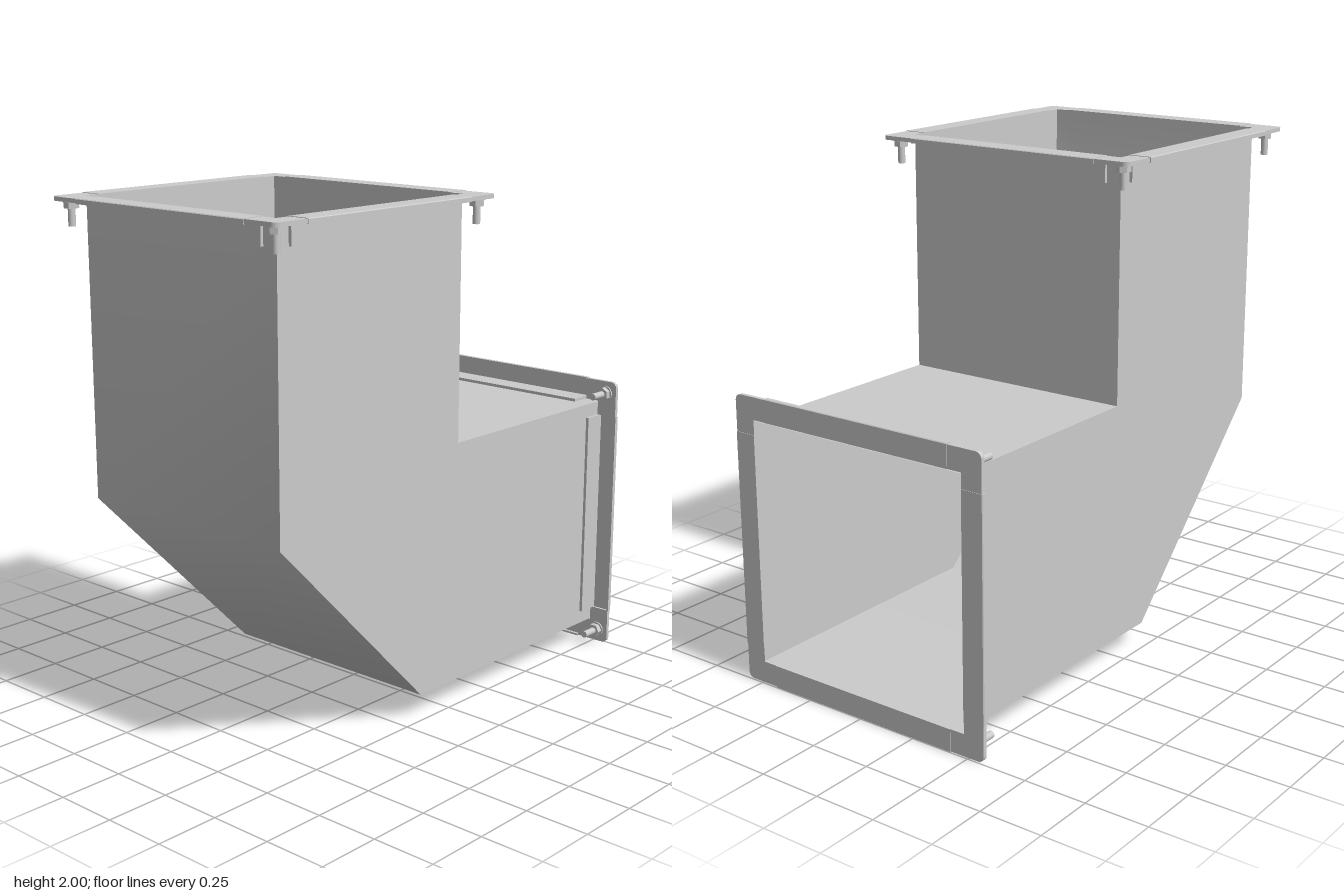
import * as THREE from 'three';

const mat = new THREE.MeshStandardMaterial({ color: 0xcccccc, side: THREE.DoubleSide });
const HALF = 0.483; // half width of the duct
const OUT = 0.575;  // half width of the flange

function part(name, geometry, parent) {
  const mesh = new THREE.Mesh(geometry, mat);
  mesh.name = name;
  parent.add(mesh);
  return mesh;
}

// Sheet spanning the duct width along a [z, y] path, smooth across gentle bends
function sheet(path) {
  const positions = path.flatMap(([z, y]) => [-HALF, y, z, HALF, y, z]);
  const index = [];
  for (let i = 0; i < path.length - 1; i++) {
    const a = i * 2;
    index.push(a, a + 2, a + 1, a + 1, a + 2, a + 3);
  }
  const g = new THREE.BufferGeometry();
  g.setAttribute('position', new THREE.Float32BufferAttribute(positions, 3));
  g.setIndex(index);
  g.computeVertexNormals();
  return g;
}

function polygon(points) {
  return new THREE.Shape(points.map(([x, y]) => new THREE.Vector2(x, y)));
}

// Flange in the plane y = 0, facing +y, with the duct below it
function makeFlange(name) {
  const flange = new THREE.Group();
  flange.name = name;

  // Folded rail: leg against the duct, flat face, outer lip
  const railGeo = new THREE.ExtrudeGeometry(polygon([
    [0.484, -0.1], [0.496, -0.1], [0.496, -0.008], [OUT - 0.008, -0.008],
    [OUT - 0.008, -0.02], [OUT, -0.02], [OUT, -0.003], [OUT - 0.003, 0], [0.484, 0],
  ]), { depth: 0.85, bevelEnabled: false });
  railGeo.translate(0, 0, -0.425);

  // L-shaped corner plate with a rounded outer corner
  const e = OUT - 0.004, r = 0.025;
  const corner = new THREE.Shape();
  corner.moveTo(0.425, 0.484);
  corner.lineTo(0.484, 0.484);
  corner.lineTo(0.484, 0.425);
  corner.lineTo(e, 0.425);
  corner.lineTo(e, e - r);
  corner.absarc(e - r, e - r, r, 0, Math.PI / 2, false);
  corner.lineTo(0.425, e);
  corner.closePath();
  const cornerGeo = new THREE.ExtrudeGeometry(corner, { depth: 0.016, bevelEnabled: false, curveSegments: 6 });
  cornerGeo.rotateX(Math.PI / 2);
  cornerGeo.translate(0, -0.002, 0);

  const washerGeo = new THREE.CylinderGeometry(0.032, 0.032, 0.006, 20);
  const nutGeo = new THREE.CylinderGeometry(0.028, 0.028, 0.022, 6).toNonIndexed();
  nutGeo.computeVertexNormals();
  const shankGeo = new THREE.CylinderGeometry(0.014, 0.014, 0.1, 16);

  for (let i = 0; i < 4; i++) {
    const side = new THREE.Group();
    side.name = 'flangeSide';
    side.rotation.y = i * Math.PI / 2;
    part('rail', railGeo, side);
    part('cornerPlate', cornerGeo, side);
    const bolt = new THREE.Group();
    bolt.name = 'cornerBolt';
    bolt.position.set(0.52, 0, 0.52);
    part('washer', washerGeo, bolt).position.y = -0.021;
    part('nut', nutGeo, bolt).position.y = -0.035;
    part('shank', shankGeo, bolt).position.y = -0.062;
    side.add(bolt);
    flange.add(side);
  }
  return flange;
}

export function createModel() {
  const model = new THREE.Group();
  model.name = 'ductElbow';

  // Elbow outline as [z, y]: outer run with chamfer, inner run with square corner
  const outer = [[0.905, 1.997], [0.905, 0.86], [0.15, 0.1], [-0.997, 0.1]];
  const inner = [[-0.997, 1.06], [-0.055, 1.06], [-0.055, 1.997]];

  part('outerWall', sheet(outer), model);
  part('innerShelf', sheet(inner.slice(0, 2)), model);
  part('innerWall', sheet(inner.slice(1)), model);

  const sideGeo = new THREE.ShapeGeometry(polygon([...outer, ...inner]));
  sideGeo.rotateY(-Math.PI / 2);
  part('leftWall', sideGeo, model).position.x = HALF;
  part('rightWall', sideGeo, model).position.x = -HALF;

  const topFlange = makeFlange('topFlange');
  topFlange.position.set(0, 2, 0.425);
  const backFlange = makeFlange('backFlange');
  backFlange.position.set(0, 0.58, -1);
  backFlange.rotation.x = -Math.PI / 2;
  model.add(topFlange, backFlange);
  return model;
}
